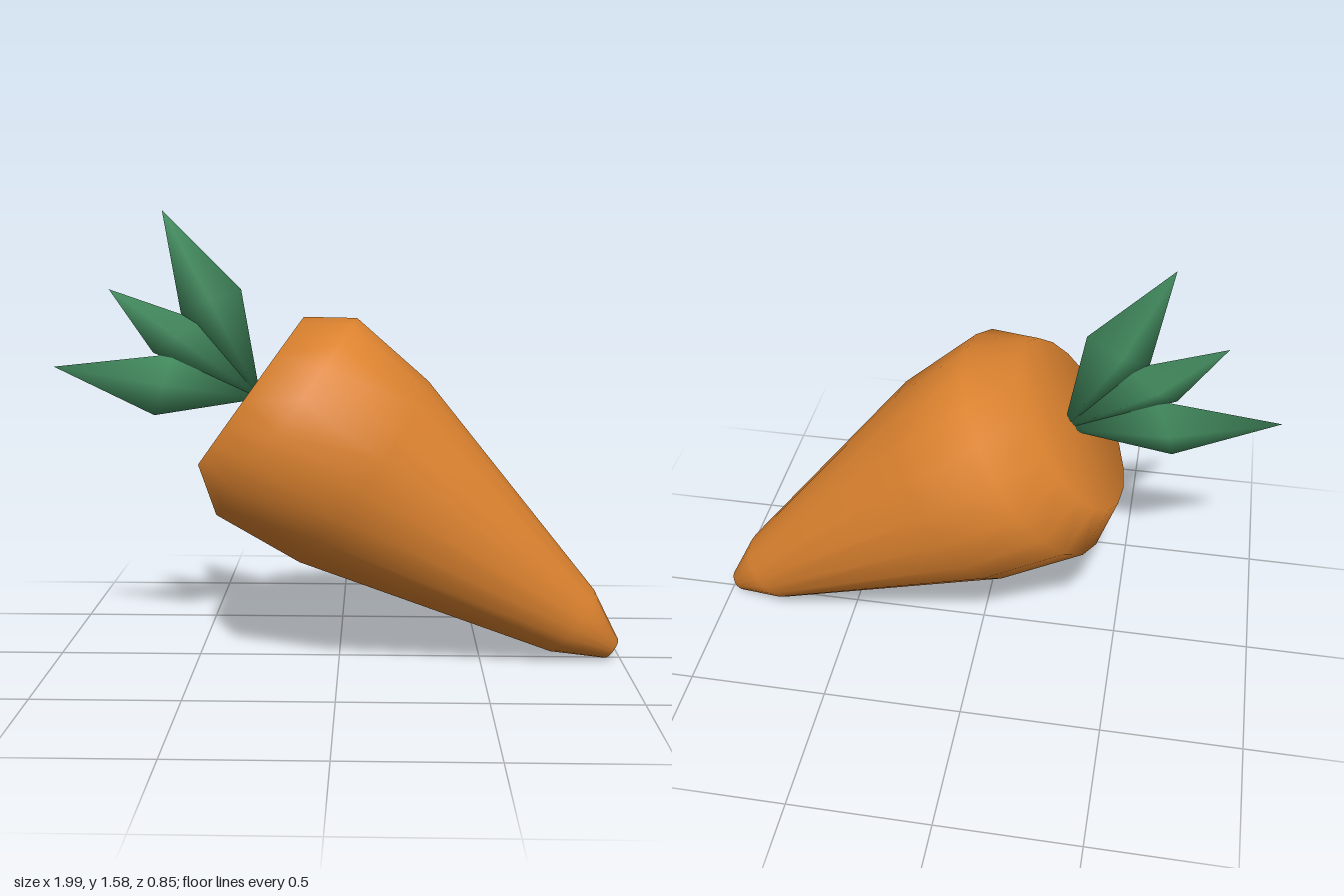
import * as THREE from 'three';

const orange = new THREE.MeshStandardMaterial({ color: 0xe08530 });
orange.name = 'carrot orange';
const green = new THREE.MeshStandardMaterial({ color: 0x459062 });
green.name = 'leaf green';

// Leaf root, sunk just inside the crown of the carrot
const ROOT = [-0.275, 0.93, 0];

// Smooth-shaded leaf: root and tip joined through two edges and two ridges
function makeLeaf(tip, right, left) {
  const mx = (right[0] + left[0]) / 2, my = (right[1] + left[1]) / 2;
  const positions = [
    ...ROOT,
    ...tip, 0,
    ...right, 0,
    mx, my, 0.02, // front ridge
    ...left, 0,
    mx - 0.02, my + 0.015, -0.075, // back ridge
  ];
  const ring = [2, 3, 4, 5];
  const index = [];
  ring.forEach((a, i) => {
    const b = ring[(i + 1) % 4];
    index.push(0, a, b, 1, b, a);
  });
  const geometry = new THREE.BufferGeometry();
  geometry.setAttribute('position', new THREE.Float32BufferAttribute(positions, 3));
  geometry.setIndex(index);
  geometry.computeVertexNormals();
  return new THREE.Mesh(geometry, green);
}

export function createModel() {
  const model = new THREE.Group();
  model.name = 'carrot';

  // Root body: profile from the pointed end up to the flat crown
  const profile = [
    [0, 0], [0.041, 0], [0.136, 0.18], [0.391, 1.094],
    [0.4235, 1.424], [0.3185, 1.576], [0, 1.576],
  ].map(([r, h]) => new THREE.Vector2(r, h));
  const body = new THREE.Mesh(new THREE.LatheGeometry(profile, 20), orange);
  body.name = 'body';
  body.position.set(0.97, 0.0365, 0);
  body.rotation.z = 0.947;
  model.add(body);

  // Three leaves fanning out of the crown: tip, right edge, left edge
  const leaves = new THREE.Group();
  leaves.name = 'leaves';
  [
    ['upperLeaf', [-0.61, 1.58], [-0.34, 1.31], [-0.55, 1.225]],
    ['middleLeaf', [-0.8, 1.31], [-0.48, 1.2], [-0.65, 1.09]],
    ['lowerLeaf', [-1, 1.04], [-0.58, 1.085], [-0.65, 0.87]],
  ].forEach(([name, tip, right, left]) => {
    const leaf = makeLeaf(tip, right, left);
    leaf.name = name;
    leaves.add(leaf);
  });
  model.add(leaves);

  return model;
}
